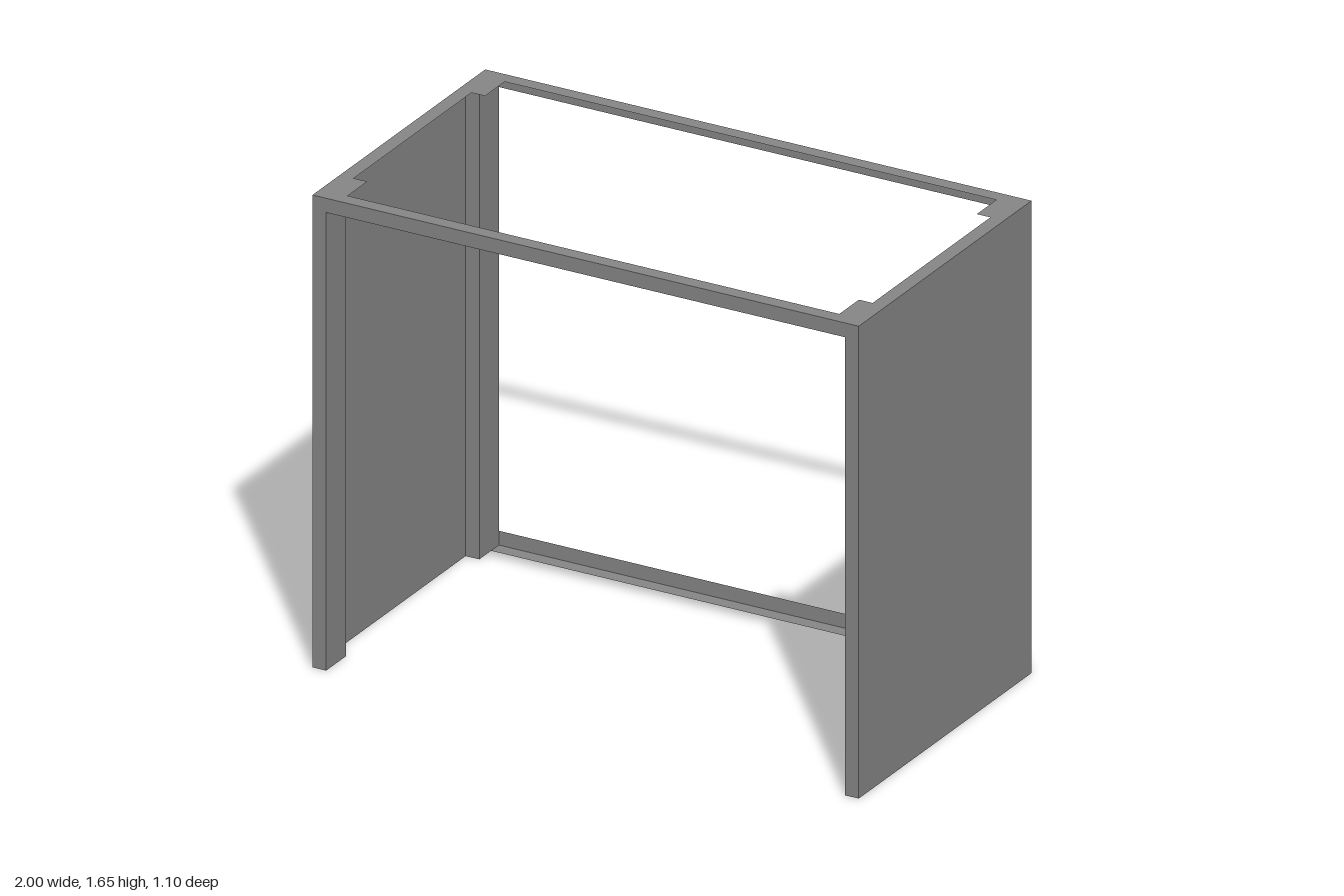
import * as THREE from 'three';

export function createModel() {
  const model = new THREE.Group();
  const material = new THREE.MeshStandardMaterial({ color: 0x878787, side: THREE.DoubleSide });

  const W = 1, D = 0.55, H = 1.65;   // half width, half depth, height
  const T = 0.05, POST = 0.125;      // bar width, post depth

  const add = (name, geometry, x, y, z) => {
    const mesh = new THREE.Mesh(geometry, material);
    mesh.name = name;
    mesh.position.set(x, y, z);
    model.add(mesh);
    return mesh;
  };
  const points = (list) => list.map(([x, z]) => new THREE.Vector2(x, z));

  // Top plate: thin flat ring that widens around the four posts
  const ix = W - T, iz = D - T, bx = ix - T, bz = iz - POST;
  const outline = new THREE.Shape(points([[-W, -D], [W, -D], [W, D], [-W, D]]));
  outline.holes.push(new THREE.Path(points([
    [bx, iz], [bx, bz], [ix, bz], [ix, -bz], [bx, -bz], [bx, -iz],
    [-bx, -iz], [-bx, -bz], [-ix, -bz], [-ix, bz], [-bx, bz], [-bx, iz],
  ])));
  const plate = new THREE.ShapeGeometry(outline);
  plate.rotateX(-Math.PI / 2);
  add('topPlate', plate, 0, H, 0);

  for (const side of [-1, 1]) {
    const name = side > 0 ? 'left' : 'right';

    // Corner posts
    for (const end of [-1, 1]) {
      add(`${name}${end > 0 ? 'Front' : 'Back'}Post`,
        new THREE.BoxGeometry(T, H, POST),
        side * (W - T / 2), H / 2, end * (D - POST / 2));
    }

    // Thin side panel, flush with the outside of the posts
    const panel = add(`${name}Panel`,
      new THREE.PlaneGeometry(2 * (D - POST), H), side * W, H / 2, 0);
    panel.rotation.y = side * Math.PI / 2;
  }

  // Thin upright strips between the posts: front top, back top, back bottom
  const strip = (name, y, end) => {
    const mesh = add(name, new THREE.PlaneGeometry(2 * ix, T), 0, y, end * D);
    mesh.rotation.y = end > 0 ? 0 : Math.PI;
  };
  strip('frontTopStrip', H - T / 2, 1);
  strip('backTopStrip', H - T / 2, -1);
  strip('backBottomStrip', T / 2, -1);

  // Flat foot of the back bottom rail
  const foot = add('backBottomFoot', new THREE.PlaneGeometry(2 * ix, T), 0, 0, -D + T / 2);
  foot.rotation.x = Math.PI / 2;

  return model;
}
